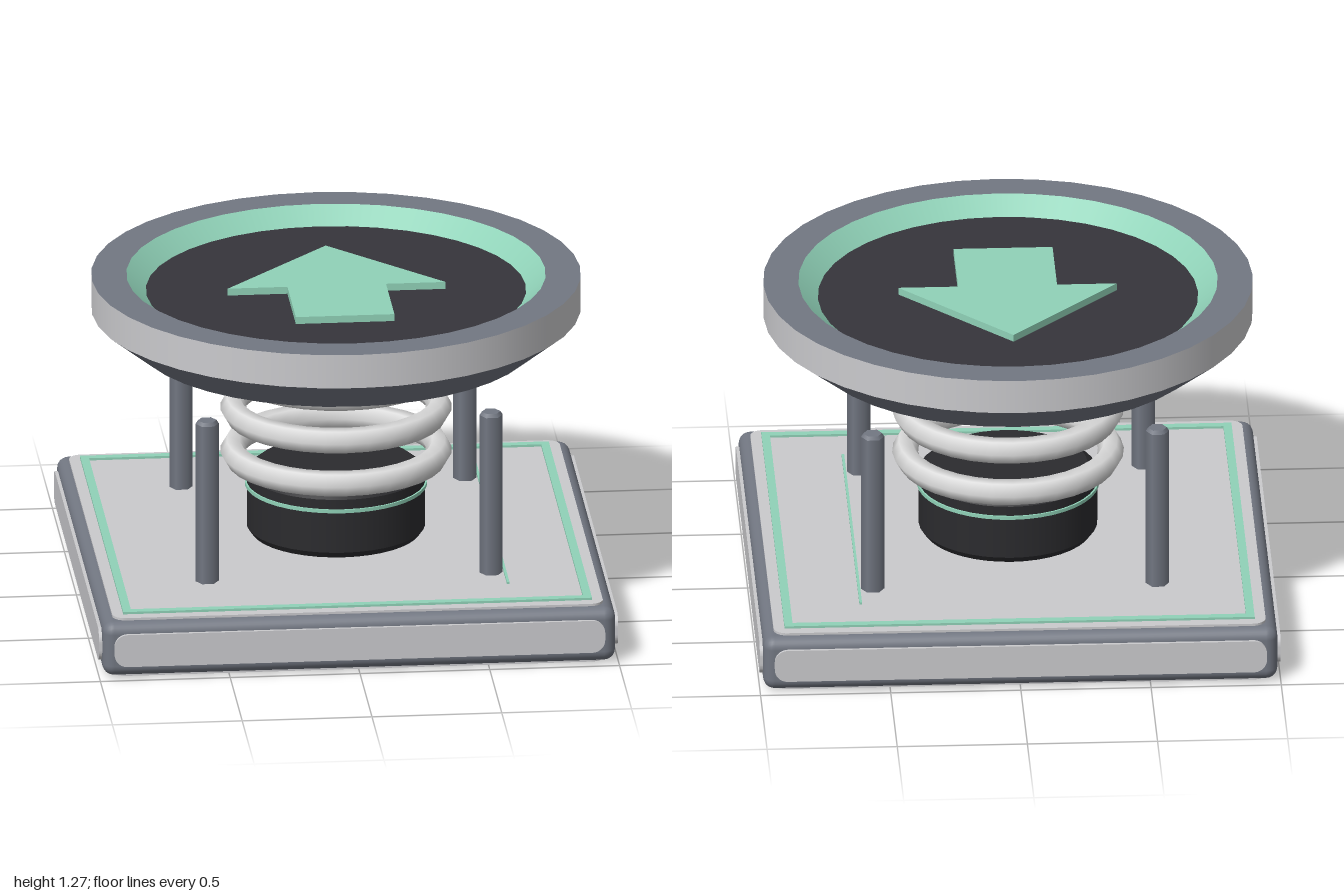
import * as THREE from 'three';
import { RoundedBoxGeometry } from 'three/addons/geometries/RoundedBoxGeometry.js';

const mat = (name, color, side = THREE.FrontSide) => {
  const m = new THREE.MeshStandardMaterial({ color, side });
  m.name = name;
  return m;
};

export function createModel() {
  const root = new THREE.Group();
  root.name = 'jumpPad';

  const slate = mat('slate', 0x727782);
  const light = mat('lightGrey', 0xcacacd);
  const white = mat('springWhite', 0xdcdcdc);
  const dark = mat('darkGrey', 0x36353b);
  const charcoal = mat('charcoal', 0x2b2b2e);
  const mint = mat('mint', 0x90d2b8);

  const add = (name, geometry, material, x = 0, y = 0, z = 0, parent = root) => {
    const mesh = new THREE.Mesh(geometry, material);
    mesh.name = name;
    mesh.position.set(x, y, z);
    parent.add(mesh);
    return mesh;
  };

  // One lathed band per pair of points keeps the rims sharp
  const bands = (points, list, parent) => list.forEach(([name, material], i) => {
    const pair = [points[i], points[i + 1]].map(([r, y]) => new THREE.Vector2(r, y));
    add(name, new THREE.LatheGeometry(pair, 40), material, 0, 0, 0, parent);
  });

  const roundedRect = (w, h, r) => {
    const s = new THREE.Shape();
    const x = w / 2, y = h / 2;
    s.absarc(x - r, y - r, r, 0, Math.PI / 2);
    s.absarc(-x + r, y - r, r, Math.PI / 2, Math.PI);
    s.absarc(-x + r, -y + r, r, Math.PI, Math.PI * 1.5);
    s.absarc(x - r, -y + r, r, Math.PI * 1.5, Math.PI * 2);
    s.closePath();
    return s;
  };

  const panelGeometry = (w, h, r) => new THREE.ExtrudeGeometry(roundedRect(w, h, r), {
    depth: 0.02, bevelEnabled: false, curveSegments: 6,
  });

  // Base block with raised panels on all six sides
  const base = new THREE.Group();
  base.name = 'base';
  root.add(base);
  add('baseBody', new RoundedBoxGeometry(1.976, 0.217, 1.976, 3, 0.045), slate, 0, 0.1175, 0, base);
  for (let i = 0; i < 4; i++) {
    const a = i * Math.PI / 2;
    const panel = add('sidePanel', panelGeometry(1.89, 0.13, 0.05), light,
      Math.sin(a) * 0.98, 0.12, Math.cos(a) * 0.98, base);
    panel.rotation.y = a;
  }
  add('topPanel', panelGeometry(1.89, 1.89, 0.05).rotateX(-Math.PI / 2), light, 0, 0.215, 0, base);
  add('bottomPanel', panelGeometry(1.89, 1.89, 0.05).rotateX(Math.PI / 2), light, 0, 0.02, 0, base);

  // Mint border and single guide line on the top panel
  for (const s of [-1, 1]) {
    add('borderStripe', new THREE.BoxGeometry(0.032, 0.009, 1.806), mint, s * 0.887, 0.2405, 0, base);
    add('borderStripe', new THREE.BoxGeometry(1.742, 0.009, 0.032), mint, 0, 0.2405, s * 0.887, base);
  }
  add('guideLine', new THREE.BoxGeometry(0.01, 0.009, 1.38), mint, 0.6, 0.2385, 0, base);

  // Four six-sided corner posts with chamfered tops
  for (const sx of [-1, 1]) for (const sz of [-1, 1]) {
    const post = new THREE.Group();
    post.name = 'post';
    post.position.set(sx * 0.547, 0, sz * 0.545);
    root.add(post);
    add('postShaft', new THREE.CylinderGeometry(0.045, 0.045, 0.65, 6, 1, true).rotateY(Math.PI / 6), slate, 0, 0.55, 0, post);
    add('postTip', new THREE.CylinderGeometry(0.036, 0.045, 0.014, 6).rotateY(Math.PI / 6), slate, 0, 0.882, 0, post);
  }

  // Central hub with a mint band
  const hub = new THREE.Group();
  hub.name = 'hub';
  root.add(hub);
  bands([[0.325, 0.235], [0.343, 0.26], [0.343, 0.475], [0.305, 0.505], [0, 0.505]],
    ['hubFoot', 'hubWall', 'hubChamfer', 'hubTop'].map((n) => [n, charcoal]), hub);
  add('hubBand', new THREE.CylinderGeometry(0.35, 0.35, 0.014, 40), mint, 0, 0.43, 0, hub);

  // Spring coils
  for (const y of [0.56, 0.735, 0.908]) {
    add('springCoil', new THREE.TorusGeometry(0.395, 0.05, 6, 32).rotateX(Math.PI / 2), white, 0, y, 0);
  }

  // Dish-shaped launch plate
  const plate = new THREE.Group();
  plate.name = 'launchPlate';
  root.add(plate);
  bands([[0, 1.005], [0.77, 1.005], [0.94, 1.14], [0.94, 1.275], [0.805, 1.275], [0.73, 1.21], [0, 1.21]],
    [['plateUnderside', dark], ['plateCone', slate], ['plateSide', light],
      ['plateRim', slate], ['plateInnerWall', mint], ['plateFloor', dark]], plate);

  // Raised arrow pointing to the back
  const arrow = new THREE.Shape([
    [0, 0.43], [-0.42, -0.03], [-0.19, -0.03], [-0.19, -0.38],
    [0.19, -0.38], [0.19, -0.03], [0.42, -0.03],
  ].map(([x, y]) => new THREE.Vector2(x, y)));
  add('arrow', new THREE.ExtrudeGeometry(arrow, { depth: 0.03, bevelEnabled: false })
    .rotateX(-Math.PI / 2), mint, 0, 1.208, 0, plate);

  return root;
}
